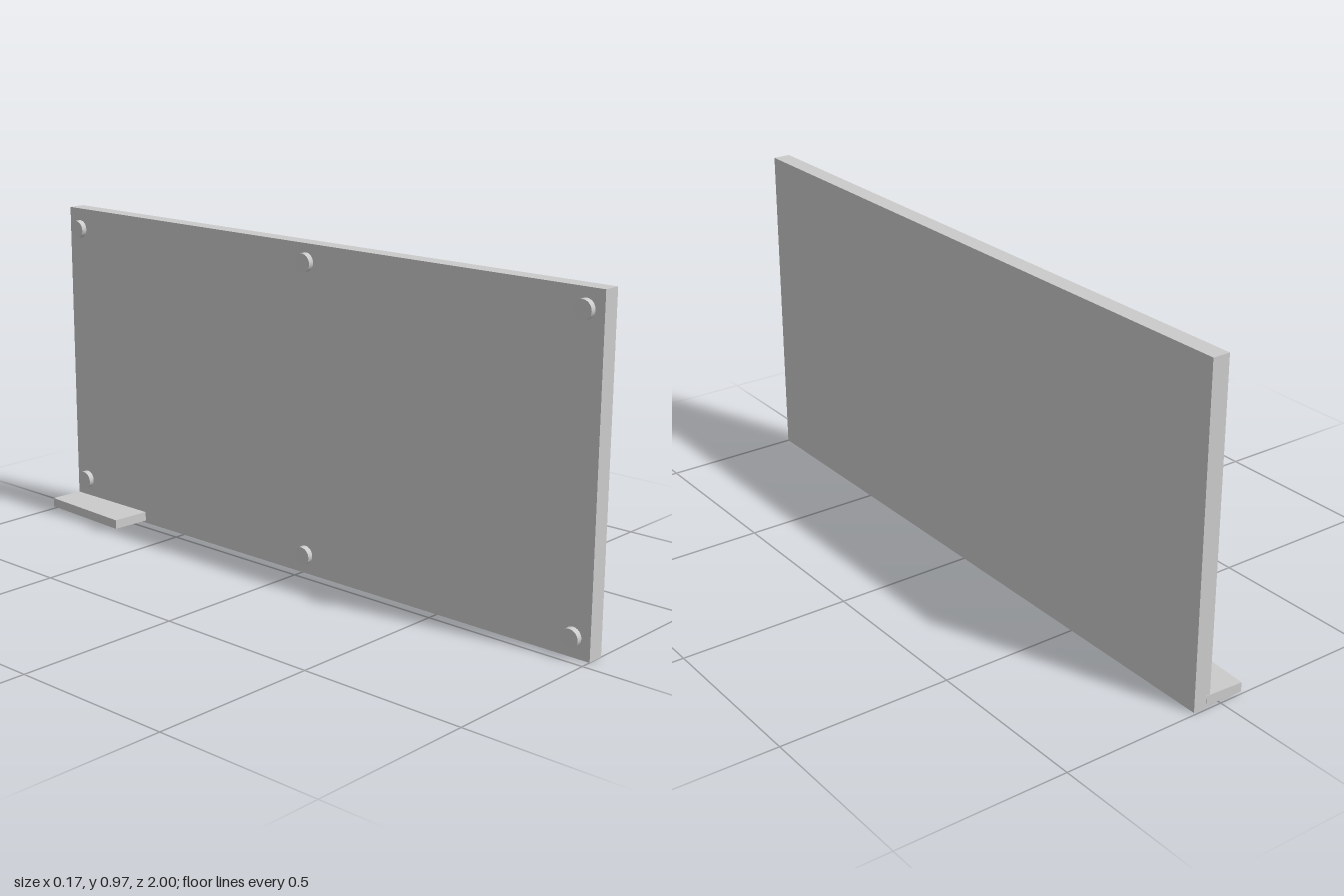
import * as THREE from 'three';

export function createModel() {
  const group = new THREE.Group();
  const material = new THREE.MeshStandardMaterial({ color: 0xcccccc });
  const add = (name, geometry, x, y, z) => {
    const mesh = new THREE.Mesh(geometry, material);
    mesh.name = name;
    mesh.position.set(x, y, z);
    group.add(mesh);
    return mesh;
  };

  // Large upright board
  add('panel', new THREE.BoxGeometry(0.052, 0.971, 1.993), 0.059, 0.4855, 0.0035);

  // Small ledge, slightly skewed, let into the foot of the board
  const ledge = new THREE.Shape([
    new THREE.Vector2(-0.07, 1.0),
    new THREE.Vector2(-0.087, 0.68),
    new THREE.Vector2(0.045, 0.673),
    new THREE.Vector2(0.045, 0.994),
  ]);
  const ledgeGeometry = new THREE.ExtrudeGeometry(ledge, { depth: 0.028, bevelEnabled: false });
  ledgeGeometry.rotateX(-Math.PI / 2);
  add('ledge', ledgeGeometry, 0, 0.007, 0);

  // Round pads on the inner face: [height, z]
  const padGeometry = new THREE.CylinderGeometry(0.027, 0.027, 0.024, 32);
  const pads = [
    [0.907, -0.947], [0.918, 0.012], [0.916, 0.945],
    [0.089, -0.947], [0.057, 0.012], [0.057, 0.945],
  ];
  for (const [y, z] of pads) {
    add('pad', padGeometry, 0.0285, y, z).rotation.z = Math.PI / 2 + 0.05;
  }

  return group;
}
